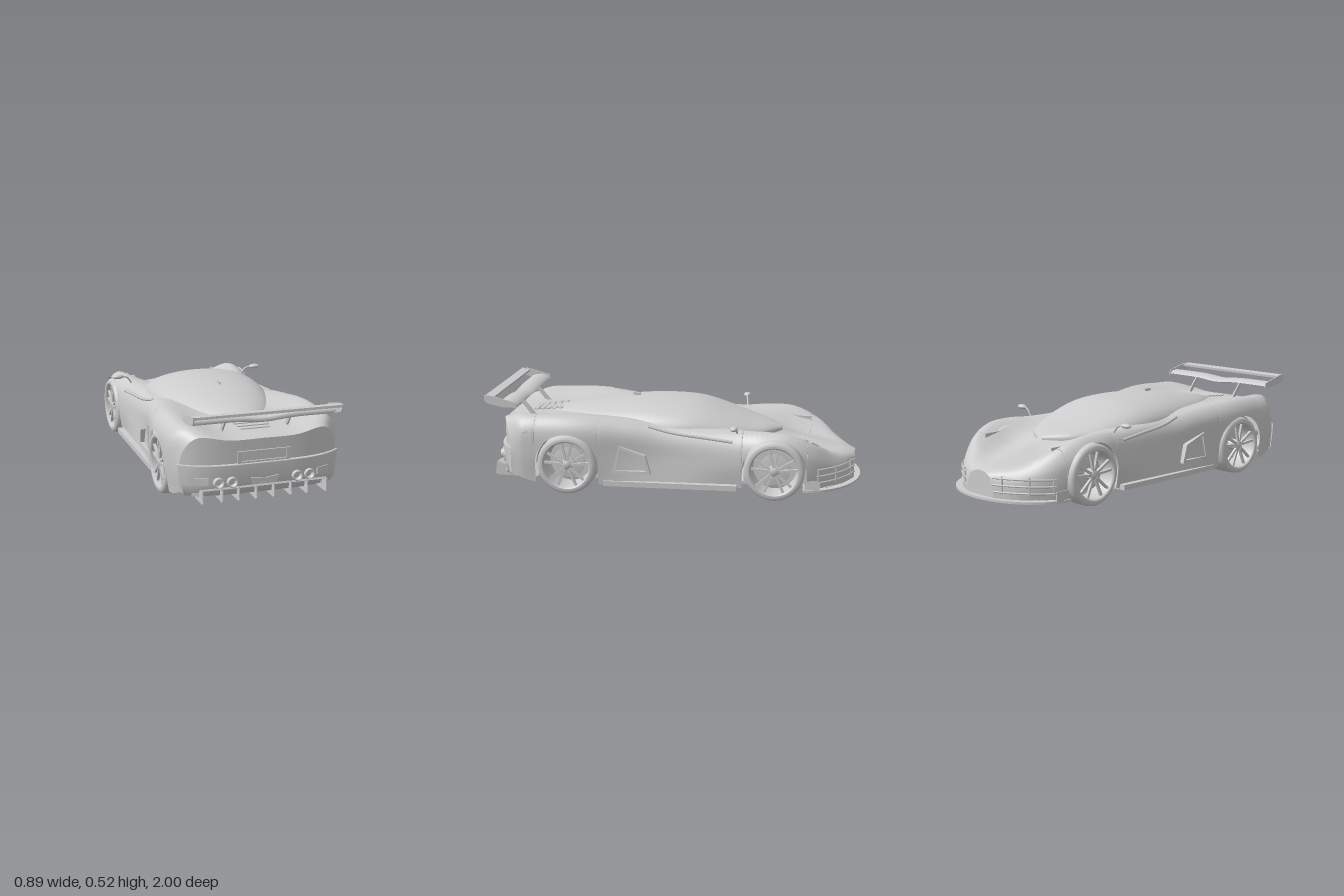
import * as THREE from 'three';

const grey = new THREE.MeshStandardMaterial({ color: 0xcccccc, side: THREE.DoubleSide });
grey.name = 'light grey';

const V = (x, y, z) => new THREE.Vector3(x, y, z);
const WHEEL_Z = [-0.55, 0.55], WHEEL_Y = 0.16, ARCH_R = 0.168;

// Body stations: z, low x, mid x, shoulder x, crest x, crest y, inner y, centre y
const STATIONS = [
  [-0.965, 0.10, 0.10, 0.09, 0.07, 0.170, 0.185, 0.19],
  [-0.92, 0.20, 0.20, 0.19, 0.15, 0.185, 0.20, 0.205],
  [-0.85, 0.28, 0.29, 0.28, 0.23, 0.220, 0.210, 0.22],
  [-0.75, 0.36, 0.37, 0.36, 0.31, 0.290, 0.225, 0.245],
  [-0.63, 0.40, 0.41, 0.40, 0.34, 0.342, 0.25, 0.27],
  [-0.50, 0.40, 0.415, 0.405, 0.34, 0.354, 0.295, 0.305],
  [-0.35, 0.38, 0.395, 0.38, 0.33, 0.345, 0.33, 0.33],
  [-0.15, 0.385, 0.38, 0.365, 0.325, 0.345, 0.355, 0.36],
  [0.05, 0.39, 0.375, 0.365, 0.325, 0.355, 0.37, 0.37],
  [0.25, 0.40, 0.395, 0.39, 0.34, 0.390, 0.38, 0.385],
  [0.50, 0.42, 0.44, 0.43, 0.375, 0.415, 0.385, 0.385],
  [0.70, 0.42, 0.44, 0.43, 0.375, 0.415, 0.375, 0.375],
  [0.84, 0.41, 0.43, 0.42, 0.36, 0.408, 0.373, 0.372],
  [0.93, 0.39, 0.41, 0.385, 0.33, 0.380, 0.362, 0.362],
];
// Canopy stations: z, half width, top y
const CANOPY = [
  [-0.57, 0.02, 0.31], [-0.5, 0.13, 0.335], [-0.4, 0.21, 0.364], [-0.3, 0.265, 0.398],
  [-0.13, 0.31, 0.45], [0, 0.32, 0.463], [0.2, 0.30, 0.46], [0.4, 0.25, 0.436],
  [0.55, 0.18, 0.414], [0.72, 0.07, 0.385],
];

function interpolator(table) {
  const stride = table[0].length - 1;
  const f = new THREE.CubicInterpolant(table.map(r => r[0]), table.flatMap(r => r.slice(1)), stride, new Float32Array(stride));
  return z => Array.from(f.evaluate(z));
}
const bodyAt = interpolator(STATIONS), canopyAt = interpolator(CANOPY);

// Rounds the tail in plan by pulling its corners forward
const bend = (z, x) => z - Math.max(0, z - 0.78) * 0.45 * Math.min(1.2, Math.abs(x) / 0.4) ** 4;
const bent = p => V(p.x, p.y, bend(p.z, p.x));

// Half section of the body, from sill to centre line
const sillY = z => 0.06 + Math.max(0, z - 0.72) * 0.2;
function section(z) {
  const [xl, xm, xs, xc, yc, yi, y0] = bodyAt(z);
  const low = sillY(z), ys = yc - Math.min(0.055, yc * 0.18);
  return new THREE.CatmullRomCurve3([V(xl, low, z), V(xm, low + (ys - low) * 0.55, z),
    V(xs, ys, z), V(xc, yc, z), V(xc * 0.5, yi, z), V(0, y0, z)]);
}

// Parameter on the section where a monotone test first passes
function solve(curve, a, b, test) {
  for (let i = 0; i < 24; i++) {
    const m = (a + b) / 2;
    if (test(curve.getPoint(m))) b = m; else a = m;
  }
  return b;
}

function ringAt(z, n = 26) {
  const curve = section(z);
  let t0 = 0;
  for (const zc of WHEEL_Z) {
    const d = Math.abs(z - zc);
    if (d < ARCH_R) t0 = solve(curve, 0, 0.57, p => p.y > WHEEL_Y + Math.sqrt(ARCH_R ** 2 - d * d));
  }
  const half = [];
  for (let j = 0; j <= n; j++) half.push(curve.getPoint(t0 + (1 - t0) * j / n));
  return half.concat(half.slice(0, -1).reverse().map(p => V(-p.x, p.y, p.z))).map(bent);
}

function loft(rows) {
  const n = rows[0].length, index = [];
  for (let i = 0; i < rows.length - 1; i++) for (let j = 0; j < n - 1; j++) {
    const a = i * n + j, c = a + n;
    index.push(a, a + 1, c, a + 1, c + 1, c);
  }
  const g = new THREE.BufferGeometry().setFromPoints(rows.flat());
  g.setIndex(index);
  g.computeVertexNormals();
  return g;
}

const shapeOf = pts => new THREE.Shape(pts.map(p => new THREE.Vector2(p[0], p[1])));
const extrude = (pts, depth) => new THREE.ExtrudeGeometry(shapeOf(pts), { depth, bevelEnabled: false });
const mirrorPts = pts => pts.concat(pts.slice().reverse().map(p => [-p[0], p[1]]));

export function createModel() {
  const car = new THREE.Group();
  car.name = 'raceCar';
  const add = (name, geo, x = 0, y = 0, z = 0, parent = car) => {
    const m = new THREE.Mesh(geo, grey);
    m.name = name;
    m.position.set(x, y, z);
    parent.add(m);
    return m;
  };
  const box = (name, w, h, d, x, y, z) => add(name, new THREE.BoxGeometry(w, h, d), x, y, z);
  const rod = (name, pts, r) => add(name, new THREE.TubeGeometry(new THREE.CatmullRomCurve3(pts), 16, r, 6));
  // Thin panel that follows the upper body surface
  const panel = (name, x0, x1, z0, z1, skew) => {
    const rows = [];
    for (let i = 0; i <= 6; i++) rows.push([...Array(7).keys()].map(j => {
      const z = z0 + (z1 - z0) * i / 6, x = x1 + (x0 - x1) * j / 6 + skew * i / 6, c = section(z);
      return V(x, c.getPoint(solve(c, 0.42, 1, q => q.x <= Math.abs(x))).y + 0.004, z);
    }));
    add(name, loft(rows));
  };

  // Body shell with open wheel arches
  const zs = [];
  for (let i = 0; i <= 70; i++) zs.push(-0.965 + 1.895 * i / 70);
  for (const zc of WHEEL_Z) {
    for (let i = 0; i <= 28; i++) zs.push(zc - Math.cos(Math.PI * i / 28) * (ARCH_R - 1e-4));
    zs.push(zc - ARCH_R - 0.001, zc + ARCH_R + 0.001);
  }
  zs.sort((a, b) => a - b);
  add('bodyShell', loft(zs.map(z => ringAt(z))));
  const capRows = z => {
    const ring = ringAt(z);
    return [ring, ring.map(p => V(p.x, sillY(z), p.z))];
  };
  add('tailPanel', loft(capRows(0.93)));
  add('nosePanel', loft(capRows(-0.965).reverse()));

  // Teardrop canopy
  const canopyRows = [];
  for (let i = 0; i <= 50; i++) {
    const z = -0.57 + 1.29 * i / 50, [w, top] = canopyAt(z);
    canopyRows.push([...Array(33).keys()].map(j => {
      const a = Math.PI * j / 32;
      return V(w * Math.cos(a), 0.29 + (top - 0.29) * Math.pow(Math.abs(Math.sin(a)), 0.65), z);
    }));
  }
  add('canopy', loft(canopyRows));
  box('roofAerial', 0.006, 0.014, 0.04, 0, 0.465, 0.24);

  // Floor, narrowed beside the wheels, and nose splitter
  const floor = extrude(mirrorPts([[0.3, -0.85], [0.36, -0.74], [0.27, -0.73], [0.27, -0.37], [0.38, -0.36],
    [0.39, 0.36], [0.27, 0.37], [0.27, 0.76]]), 0.014).rotateX(Math.PI / 2);
  add('floor', floor, 0, 0.064, 0);
  const lip = [];
  for (let i = 0; i <= 32; i++) {
    const a = Math.PI * (i / 32 - 0.5);
    lip.push([0.39 * Math.sin(a), -0.7 - 0.3 * Math.cos(a)]);
  }
  add('splitter', extrude(lip, 0.012).rotateX(Math.PI / 2), 0, 0.062, 0);

  // Slatted front intakes wrapped around the nose
  for (const s of [-1, 1]) {
    for (const y of [0.095, 0.13, 0.165]) {
      rod('intakeSlat', [-0.966, -0.93, -0.88, -0.82, -0.77].map(z => V(s * (bodyAt(z)[1] + 0.002), y, z)), 0.005);
    }
    for (const z of [-0.945, -0.87, -0.78]) {
      const x = s * (bodyAt(z)[1] + 0.002);
      rod('intakePost', [V(x, 0.085, z), V(x, 0.175, z)], 0.005);
    }
    box('splitterFence', 0.005, 0.05, 0.08, s * 0.38, 0.085, -0.75);

    // Headlamps, bonnet vents and rear fender intakes
    panel('headlamp', s * 0.22, s * 0.26, -0.83, -0.74, s * 0.04);
    panel('bonnetVent', s * 0.13, s * 0.18, -0.68, -0.58, -s * 0.03);
    panel('fenderIntake', s * 0.30, s * 0.355, 0.44, 0.62, 0);
    panel('deckVent', s * 0.16, s * 0.185, 0.74, 0.81, 0);

    // Side skirt, door blade and side intake frame
    box('sideSkirt', 0.06, 0.028, 0.71, s * 0.385, 0.064, 0);
    rod('doorBlade', [V(s * 0.335, 0.365, 0.12), V(s * 0.355, 0.34, 0), V(s * 0.365, 0.32, -0.18), V(s * 0.375, 0.305, -0.33)], 0.008);
    const frame = shapeOf([[0.1, 0.12], [0.31, 0.12], [0.27, 0.27], [0.13, 0.22]]);
    frame.holes.push(new THREE.Path([[0.125, 0.135], [0.14, 0.21], [0.26, 0.25], [0.285, 0.135]].map(p => new THREE.Vector2(...p))));
    const intake = new THREE.ExtrudeGeometry(frame, { depth: 0.03, bevelEnabled: false }).rotateY(-Math.PI / 2);
    add('sideIntakeFrame', intake, s > 0 ? 0.408 : -0.378, 0, 0);
    add('sideMarker', new THREE.CylinderGeometry(0.024, 0.024, 0.02, 20).rotateZ(Math.PI / 2), s * 0.426, 0.318, 0.76);

    // Mirrors on stalks
    add('mirror', new THREE.SphereGeometry(1, 16, 10).scale(0.033, 0.013, 0.02), s * 0.412, 0.386, -0.34);
    rod('mirrorStalk', [V(s * 0.33, 0.34, -0.35), V(s * 0.36, 0.378, -0.345), V(s * 0.41, 0.386, -0.34)], 0.005);
  }

  // Rear deck louvres
  for (let i = 0; i < 5; i++) {
    box('deckLouvre', 0.2 - i * 0.012, 0.005, 0.024, 0, 0.392 - i * 0.004, 0.66 + i * 0.035).rotation.x = -0.1;
  }

  // Rear bumper, rounded in plan
  const bumper = [[0.07, 0.35, 0.84], [0.09, 0.385, 0.93], [0.15, 0.405, 0.944], [0.241, 0.42, 0.95], [0.245, 0.42, 0.945], [0.245, 0.405, 0.9]];
  add('rearBumper', loft(bumper.map(([y, w, z]) =>
    [...Array(33).keys()].map(i => bent(V(w * (i / 16 - 1), y, z))))));

  // Rear fittings
  const plateFrame = shapeOf([[-0.135, 0.245], [0.135, 0.245], [0.135, 0.305], [-0.135, 0.305]]);
  plateFrame.holes.push(new THREE.Path([[-0.115, 0.254], [-0.115, 0.296], [0.115, 0.296], [0.115, 0.254]].map(p => new THREE.Vector2(...p))));
  add('plateFrame', new THREE.ExtrudeGeometry(plateFrame, { depth: 0.012, bevelEnabled: false }), 0, 0, 0.926);
  add('rearVent', extrude([[-0.06, 0.137], [0.06, 0.137], [0.072, 0.175], [0, 0.165], [-0.072, 0.175]], 0.006), 0, 0, 0.945);
  for (const s of [-1, 1]) {
    for (const x of [0.168, 0.235]) {
      const tip = [[0.018, -0.05], [0.026, -0.05], [0.026, 0.015], [0.02, 0.015], [0.017, -0.01], [0.001, -0.01]];
      add('exhaustTip', new THREE.LatheGeometry(tip.map(p => new THREE.Vector2(...p)), 20).rotateX(Math.PI / 2), s * x, 0.16, bend(0.95, x));
    }
    box('rearLamp', 0.07, 0.036, 0.009, s * 0.315, 0.165, bend(0.946, 0.315)).rotation.y = s * 0.36;
    box('lowerLamp', 0.045, 0.014, 0.009, s * 0.335, 0.095, bend(0.933, 0.335)).rotation.y = s * 0.42;
  }

  // Diffuser ramp with vertical fins
  const ramp = extrude([[0.955, 0.138], [0.96, 0.13], [0.78, 0.054], [0.74, 0.06]], 0.64).rotateY(-Math.PI / 2);
  add('diffuserRamp', ramp, 0.32, 0, 0);
  for (const x of [-0.32, -0.22, -0.135, -0.045, 0.045, 0.135, 0.22, 0.32]) {
    add('diffuserFin', extrude([[0.96, 0.138], [0.968, 0.07], [0.955, 0.062], [0.78, 0.06]], 0.005).rotateY(-Math.PI / 2), x + 0.0025, 0, 0);
  }

  // Rear wing: dipped main plane, flap, end plates and uprights
  const foil = [[0.83, 0.46], [0.845, 0.475], [0.88, 0.482], [0.92, 0.476], [0.95, 0.461], [0.9, 0.458], [0.85, 0.455], [0.83, 0.46]];
  const wingRows = [];
  for (let i = 0; i <= 40; i++) {
    const x = -0.376 + 0.752 * i / 40, dip = 0.012 * Math.exp(-((x / 0.1) ** 2));
    wingRows.push(foil.map(([z, y]) => V(x, y - dip, z)));
  }
  add('wingMainPlane', loft(wingRows));
  box('wingFlap', 0.752, 0.013, 0.05, 0, 0.504, 0.973).rotation.x = -0.1;
  for (const s of [-1, 1]) {
    add('wingEndPlate', extrude([[0.825, 0.453], [0.9, 0.453], [0.99, 0.475], [1, 0.49], [1, 0.516], [0.96, 0.514], [0.83, 0.48]], 0.006).rotateY(-Math.PI / 2), s * 0.377 + 0.003, 0, 0);
    add('wingUpright', extrude([[0.77, 0.37], [0.8, 0.37], [0.87, 0.46], [0.845, 0.46]], 0.008).rotateY(-Math.PI / 2), s * 0.17 + 0.004, 0, 0);
  }

  // Wheels with ten paired spokes, and their wells
  const addWheel = (s, z, width, outer) => {
    const wheel = new THREE.Group();
    wheel.name = z > 0 ? 'rearWheel' : 'frontWheel';
    wheel.position.set(s * (outer - width / 2), WHEEL_Y, z);
    wheel.rotation.y = s > 0 ? 0 : Math.PI;
    const h = width / 2;
    const lathe = (name, pts) => add(name, new THREE.LatheGeometry(pts.map(p => new THREE.Vector2(...p)), 40).rotateZ(-Math.PI / 2), 0, 0, 0, wheel);
    lathe('tyre', [[0.125, -h], [0.145, -h], [0.157, -h + 0.012], [0.16, -h + 0.025], [0.16, h - 0.025], [0.157, h - 0.012], [0.145, h], [0.13, h - 0.003]]);
    lathe('rim', [[0.134, h - 0.001], [0.128, h + 0.001], [0.122, h - 0.01], [0.115, -h + 0.02], [0.125, -h]]);
    lathe('brakeDisc', [[0.001, -0.012], [0.085, -0.012], [0.085, 0.002], [0.001, 0.002]]);
    lathe('hub', [[0.03, -0.01], [0.03, h - 0.02], [0.018, h - 0.008], [0.001, h - 0.008]]);
    for (let i = 0; i < 10; i++) {
      const spoke = new THREE.BoxGeometry(0.014, 0.105, 0.012).translate(h - 0.018, 0.075, 0);
      spoke.rotateX(Math.floor(i / 2) * Math.PI * 0.4 + (i % 2 ? 0.22 : -0.22));
      add('spoke', spoke, 0, 0, 0, wheel);
    }
    car.add(wheel);
    const arch = new THREE.CylinderGeometry(ARCH_R, ARCH_R, 0.14, 32, 1, true, 0, Math.PI).rotateZ(Math.PI / 2);
    add('wheelWell', arch, s * 0.33, WHEEL_Y, z);
    box('wellWall', 0.006, 0.25, 0.34, s * 0.265, 0.18, z);
  };
  for (const s of [-1, 1]) {
    addWheel(s, WHEEL_Z[0], 0.12, 0.412);
    addWheel(s, WHEEL_Z[1], 0.148, 0.434);
  }
  return car;
}
